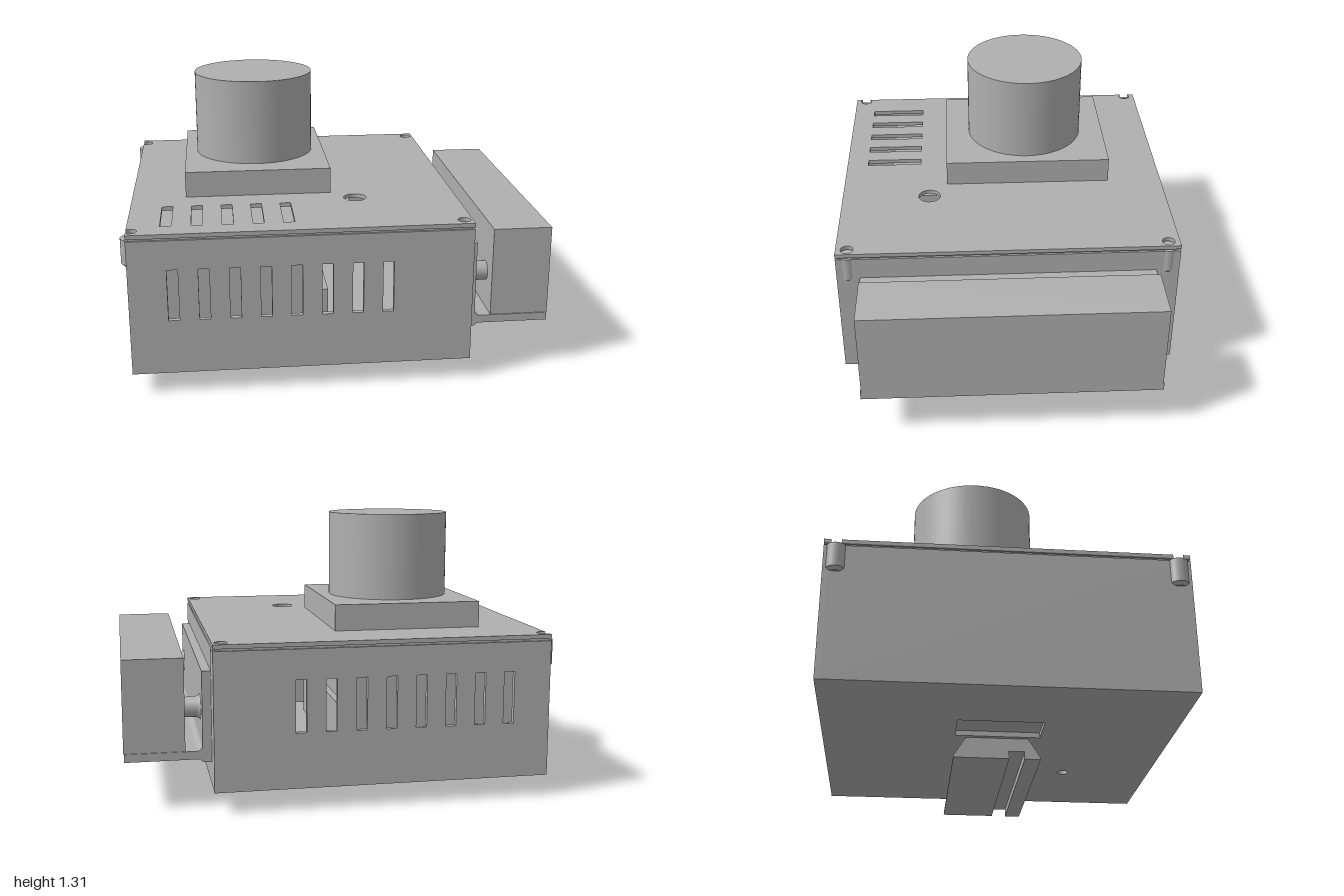
import * as THREE from 'three';

const grey = new THREE.MeshStandardMaterial({ color: 0xb0b0b0 });
grey.name = 'plain grey';

export function createModel() {
  const model = new THREE.Group();
  model.name = 'ventedEnclosure';

  const add = (name, geometry) => {
    const mesh = new THREE.Mesh(geometry, grey);
    mesh.name = name;
    model.add(mesh);
    return mesh;
  };
  // Box given by its limits on each axis
  const box = (name, x0, x1, y0, y1, z0, z1) => {
    const g = new THREE.BoxGeometry(x1 - x0, y1 - y0, z1 - z0);
    g.translate((x0 + x1) / 2, (y0 + y1) / 2, (z0 + z1) / 2);
    return add(name, g);
  };
  const cylinder = (name, r, x, y0, y1, z) =>
    add(name, new THREE.CylinderGeometry(r, r, y1 - y0, 64).translate(x, (y0 + y1) / 2, z));
  const poly = (points) => new THREE.Shape(points.map(([x, y]) => new THREE.Vector2(x, y)));
  const rect = (x0, x1, y0, y1) => poly([[x0, y0], [x1, y0], [x1, y1], [x0, y1]]);
  const circle = (x, y, r) => new THREE.Path().absarc(x, y, r, 0, Math.PI * 2, true);
  const extrude = (shape, depth) =>
    new THREE.ExtrudeGeometry(shape, { depth, bevelEnabled: false, curveSegments: 24 });
  // Horizontal plate: the shape is drawn in x and -z, rising from y
  const plate = (name, shape, y, depth) =>
    add(name, extrude(shape, depth).rotateX(-Math.PI / 2).translate(0, y, 0));

  // Main case: slotted front and back walls
  const L = -0.975, R = 0.6, Z = 0.82, T = 0.025;
  for (const [name, z] of [['frontWall', Z - T], ['backWall', -Z]]) {
    const wall = rect(L, R, 0.1, 0.745);
    for (let i = 0; i < 8; i++) {
      const x = -0.775 + i * 0.14;
      wall.holes.push(rect(x - 0.025, x + 0.025, 0.36, 0.605));
    }
    add(name, extrude(wall, T).translate(0, 0, z));
  }
  box('leftWall', R - T, R, 0.1, 0.745, -Z + T, Z - T);
  box('rightWall', L, L + T, 0.1, 0.745, -Z + T, Z - T);

  // Floor with latch opening and drain hole
  const floor = rect(L + T, R - T, -Z + T, Z - T);
  floor.holes.push(rect(-0.57, -0.38, -0.2, 0.2), circle(0.105, -0.38, 0.027));
  plate('floor', floor, 0.1, T);

  // Inset seam between case and lid
  const seam = rect(L + 0.01, R - 0.01, -Z + 0.01, Z - 0.01);
  seam.holes.push(rect(L + T, R - T, -Z + T, Z - T));
  plate('lidSeam', seam, 0.74, 0.017);

  // Lid: open screw notches on the right side, holes on the left side
  const sx = -0.955, sz = 0.765, sr = 0.03;
  const a = Math.acos((L - sx) / sr);
  const dz = sr * Math.sin(a);
  const lid = new THREE.Shape();
  lid.moveTo(L, -Z);
  lid.lineTo(R, -Z);
  lid.lineTo(R, Z);
  lid.lineTo(L, Z);
  lid.lineTo(L, sz + dz);
  lid.absarc(sx, sz, sr, a, -a, true);
  lid.lineTo(L, -sz + dz);
  lid.absarc(sx, -sz, sr, a, -a, true);
  lid.lineTo(L, -Z);
  lid.holes.push(circle(0.56, sz, sr), circle(0.56, -sz, sr), circle(0.105, -0.38, 0.055));
  for (let i = 0; i < 5; i++) {
    const x = -0.8 + i * 0.14;
    lid.holes.push(rect(x - 0.026, x + 0.026, -0.71, -0.43));
  }
  plate('lid', lid, 0.755, 0.02);

  // Screw bosses bulging from the corners, tapered below
  for (const x of [sx, 0.56]) {
    for (const z of [sz, -sz]) {
      cylinder('screwBoss', 0.045, x, 0.63, 0.747, z);
      add('bossTaper', new THREE.CylinderGeometry(0.045, 0.03, 0.015, 32).translate(x, 0.6225, z));
    }
  }

  // Equipment inside the case
  box('innerBase', -0.92, -0.05, 0.125, 0.385, -0.59, 0.59);
  box('innerBlock', -0.92, -0.083, 0.385, 0.66, -0.59, 0.59);

  // Square mount and round housing on top
  box('topMount', -0.715, -0.005, 0.775, 0.9, -0.545, 0.29);
  cylinder('topCylinder', 0.297, -0.36, 0.9, 1.315, -0.127);

  // Dovetail foot with a groove, running along x
  const foot = poly([[-0.206, 0], [-0.13, 0], [-0.13, 0.037], [-0.057, 0.037], [-0.057, 0],
    [0.206, 0], [0.206, 0.01], [0.148, 0.1], [-0.148, 0.1], [-0.206, 0.01]]);
  add('dovetailFoot', extrude(foot, 0.925).rotateY(Math.PI / 2).translate(-0.357, 0, 0));

  // Side bracket: L section with a filleted inner corner
  const bracket = new THREE.Shape();
  bracket.moveTo(0.6, 0.215);
  bracket.lineTo(0.64, 0.215);
  bracket.lineTo(0.655, 0.23);
  bracket.lineTo(0.995, 0.23);
  bracket.lineTo(0.995, 0.268);
  bracket.lineTo(0.67, 0.268);
  bracket.quadraticCurveTo(0.642, 0.27, 0.642, 0.3);
  bracket.lineTo(0.642, 0.638);
  bracket.lineTo(0.6, 0.638);
  add('sideBracket', extrude(bracket, 1.42).translate(0, 0, -0.71));
  box('sideBlock', 0.72, 0.998, 0.268, 0.7, -0.705, 0.705);

  // Flared spacers between bracket and block
  const flare = [[0.068, 0], [0.055, 0.007], [0.048, 0.022], [0.046, 0.085]]
    .map(([r, h]) => new THREE.Vector2(r, h));
  for (const z of [-0.582, 0.578]) {
    add('spacer', new THREE.LatheGeometry(flare, 32).rotateZ(-Math.PI / 2).translate(0.638, 0.447, z));
  }
  return model;
}
